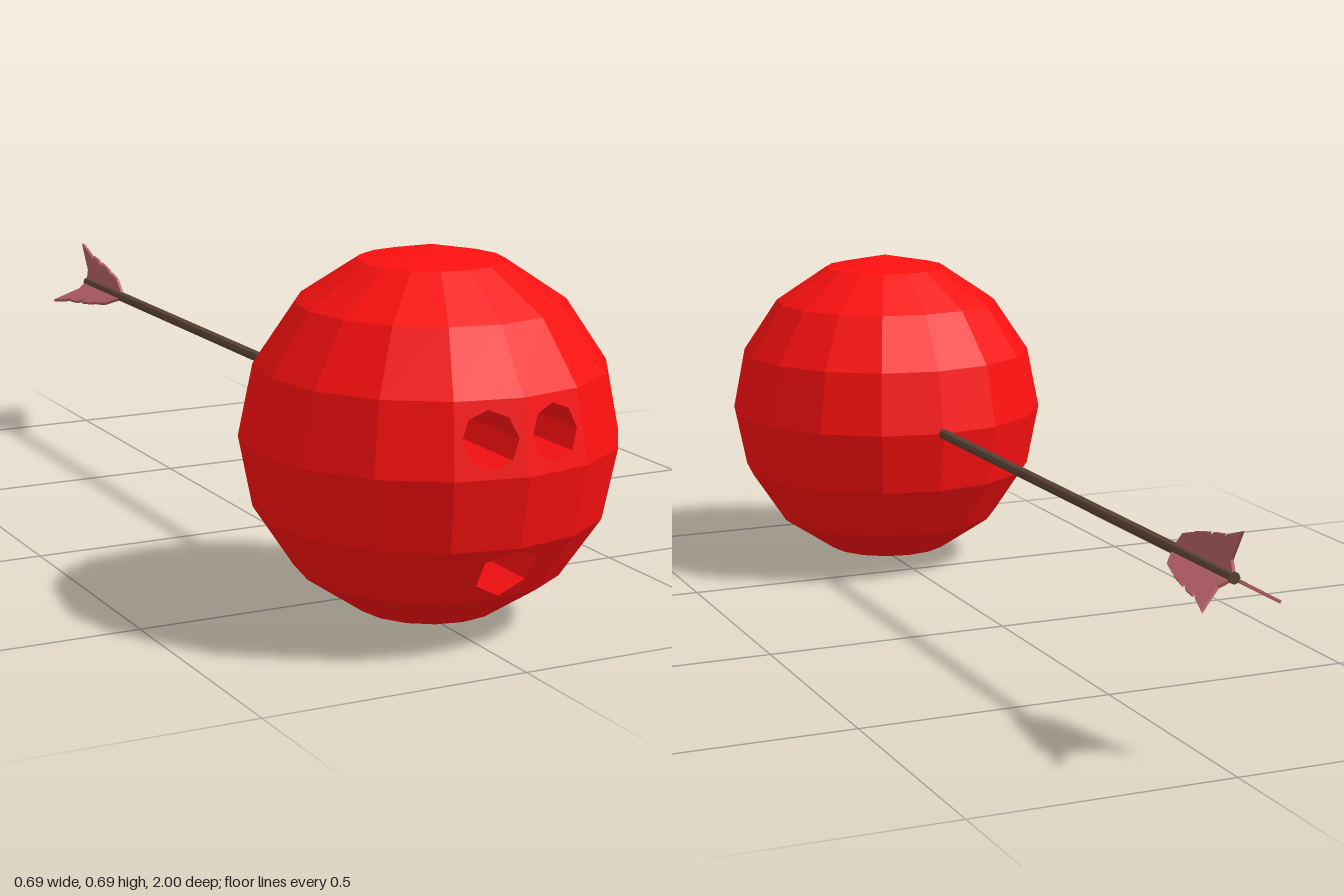
import * as THREE from 'three';

const R = 0.343, CY = 0.345, CZ = 0.655; // ball radius and centre
const STEP = Math.PI / 8;                // 16 columns, 8 rows
const EYE_ROW = 4, MOUTH_ROW = 2, BACK_Z = CZ + 0.1;

const material = (color) =>
  new THREE.MeshStandardMaterial({ color, flatShading: true, side: THREE.DoubleSide });

// Point on the ball: row counts up from the bottom, column starts at the front
function ballPoint(row, col) {
  const lat = row * STEP - Math.PI / 2, az = col * STEP;
  return new THREE.Vector3(
    R * Math.cos(lat) * Math.sin(az),
    CY + R * Math.sin(lat),
    CZ + R * Math.cos(lat) * Math.cos(az)
  );
}

// Depth of the front facet of a row at (x, y), mirrored about x = 0
function facetDepth(row) {
  const plane = new THREE.Plane().setFromCoplanarPoints(
    ballPoint(row, 0), ballPoint(row, 1), ballPoint(row + 1, 0));
  const { normal: n, constant: c } = plane;
  return (p) => -(n.x * Math.abs(p.x) + n.y * p.y + c) / n.z;
}

function makeGeometry(points) {
  const geometry = new THREE.BufferGeometry().setFromPoints(points);
  geometry.computeVertexNormals();
  return geometry;
}

// Flat polygon seen from the front, with optional hole, lifted to depth(p)
function addPolygon(out, contour, holes, depth) {
  const all = [contour, ...holes].flat();
  for (const tri of THREE.ShapeUtils.triangulateShape(contour, holes)) {
    const pts = tri.map((i) => all[i]);
    if (THREE.ShapeUtils.area(pts) < 0) pts.reverse();
    out.push(...pts.map((p) => new THREE.Vector3(p.x, p.y, depth(p))));
  }
}

// Walls of a recess running straight back from the surface, facing inward
function addWalls(out, outline, depth) {
  outline.forEach((p, i) => {
    const q = outline[(i + 1) % outline.length];
    const pF = new THREE.Vector3(p.x, p.y, depth(p)), pB = new THREE.Vector3(p.x, p.y, BACK_Z);
    const qF = new THREE.Vector3(q.x, q.y, depth(q)), qB = new THREE.Vector3(q.x, q.y, BACK_Z);
    out.push(pF, qF, pB, qF, qB, pB);
  });
}

function eyeOutline(side) {
  return Array.from({ length: 8 }, (_, i) => new THREE.Vector2(
    side * 0.063 + 0.05 * Math.cos(i * Math.PI / 4), 0.41 + 0.05 * Math.sin(i * Math.PI / 4)));
}

// Right half of the mouth, bottom to top
const mouthHalf = [[0, 0.111], [0.049, 0.137], [0.052, 0.187], [0, 0.208]]
  .map(([x, y]) => new THREE.Vector2(x, y));
const mirror = (points) => points.map((p) => new THREE.Vector2(-p.x, p.y));

function buildBall() {
  const pts = [];
  for (let row = 0; row < 8; row++) {
    for (let col = 0; col < 16; col++) {
      const pierced = (row === EYE_ROW || row === MOUTH_ROW) && (col === 0 || col === 15);
      if (pierced) continue;
      const a = ballPoint(row, col), b = ballPoint(row, col + 1);
      const c = ballPoint(row + 1, col + 1), d = ballPoint(row + 1, col);
      if (row > 0) pts.push(a, b, c);
      if (row < 7) pts.push(a, c, d);
      if (row === 0) pts.splice(pts.length - 3, 3, a, c, d);
    }
  }
  // Front facets with the openings cut out
  const corners = (row) => [ballPoint(row, 0), ballPoint(row, 1), ballPoint(row + 1, 1), ballPoint(row + 1, 0)]
    .map((p) => new THREE.Vector2(p.x, p.y));
  const eyeDepth = facetDepth(EYE_ROW), mouthDepth = facetDepth(MOUTH_ROW);
  for (const side of [1, -1]) {
    const place = (list) => (side > 0 ? list : mirror(list).reverse());
    const eye = eyeOutline(side);
    addPolygon(pts, place(corners(EYE_ROW)), [[...eye].reverse()], eyeDepth);
    addWalls(pts, eye, eyeDepth);
    const notch = [...mouthHalf].reverse();
    addPolygon(pts, place([...corners(MOUTH_ROW), ...notch]), [], mouthDepth);
  }
  addWalls(pts, mouthOutline(), mouthDepth);
  return makeGeometry(pts);
}

function mouthOutline() {
  return [...mouthHalf, ...mirror(mouthHalf.slice(1, -1)).reverse()];
}

// Dark panel closing a recess
function buildPanel(outline) {
  const pts = [];
  addPolygon(pts, outline, [], () => BACK_Z);
  return makeGeometry(pts);
}

// Jagged feather: x runs toward the tail, y outward from the shaft
function buildFeather() {
  const profile = [[0.76, 0], [0.765, 0.012], [0.79, 0.036], [0.825, 0.046], [0.822, 0.038],
    [0.84, 0.051], [0.885, 0.06], [0.88, 0.05], [0.905, 0.064], [0.935, 0.068],
    [0.93, 0.06], [0.955, 0.072], [1, 0.087], [0.965, 0.03], [0.975, 0]];
  const shape = new THREE.Shape(profile.map(([x, y]) => new THREE.Vector2(x, y)));
  return new THREE.ExtrudeGeometry(shape, { depth: 0.006, bevelEnabled: false })
    .translate(0, 0, -0.003).rotateY(Math.PI / 2);
}

export function createModel() {
  const model = new THREE.Group();
  const add = (name, geometry, mat, parent = model) => {
    const mesh = new THREE.Mesh(geometry, mat);
    mesh.name = name;
    parent.add(mesh);
    return mesh;
  };
  const red = material(0xff1010), black = material(0x101010);
  const brown = material(0x5c4436), pink = material(0xb45f66);

  // Faceted ball head with recessed face
  add('head', buildBall(), red);
  add('leftEye', buildPanel(eyeOutline(1)), black);
  add('rightEye', buildPanel(eyeOutline(-1)), black);
  add('mouth', buildPanel(mouthOutline()), black);

  // Arrow stuck in the back of the head
  const arrow = new THREE.Group();
  arrow.name = 'arrow';
  arrow.position.y = CY;
  model.add(arrow);
  const shaft = new THREE.CylinderGeometry(0.011, 0.011, 1.36, 8).rotateX(Math.PI / 2);
  add('shaft', shaft, brown, arrow).position.z = -0.295;
  const feather = buildFeather();
  for (let i = 0; i < 3; i++) {
    add('feather', feather, pink, arrow).rotation.z = i * Math.PI * 2 / 3;
  }
  return model;
}
